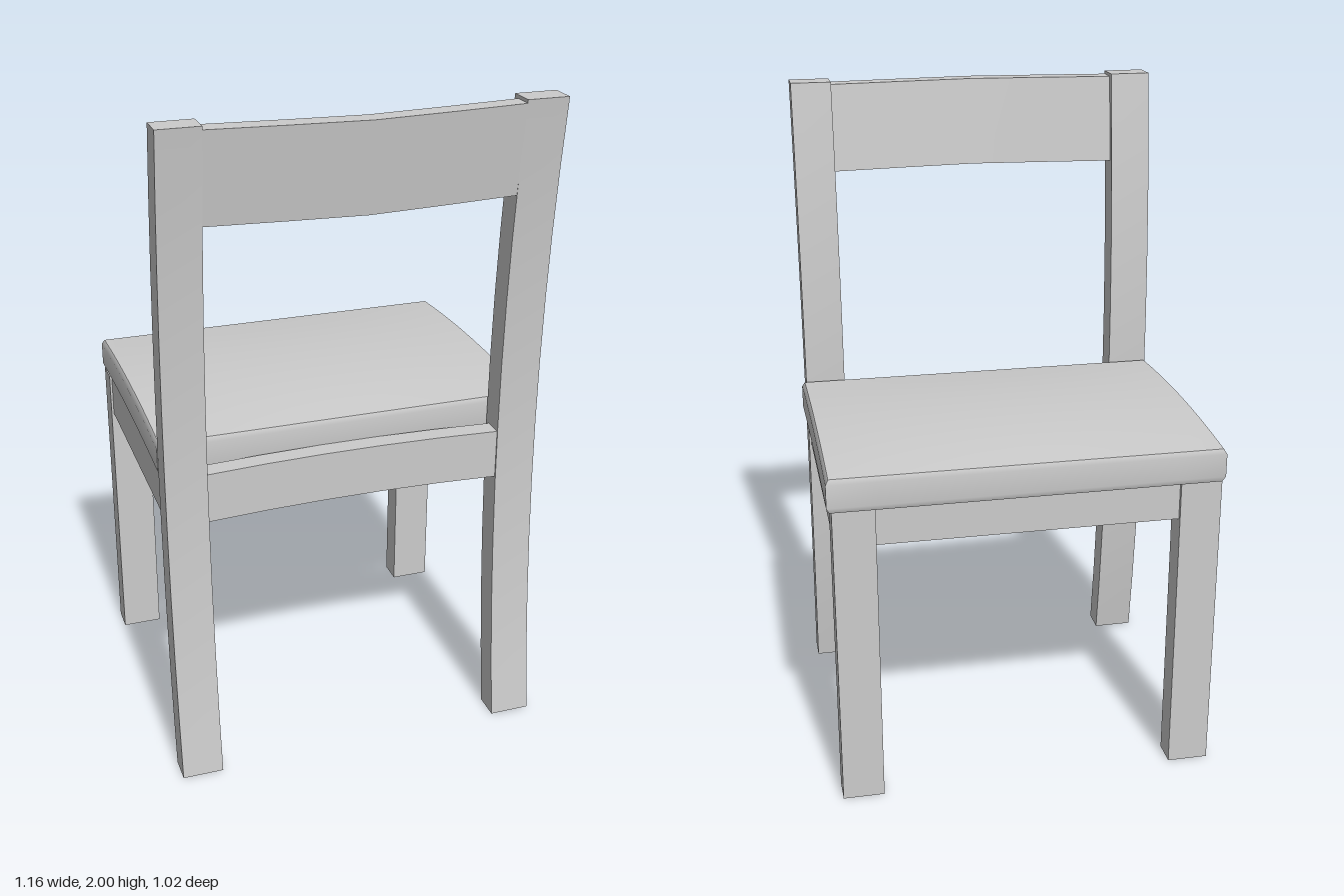
import * as THREE from 'three';

const material = new THREE.MeshStandardMaterial({ color: 0xcccccc });

// Box between two corners, with its vertices optionally moved by a rule.
function part(name, [x0, y0, z0], [x1, y1, z1], segments = [1, 1, 1], rule = null) {
  const geometry = new THREE.BoxGeometry(x1 - x0, y1 - y0, z1 - z0, ...segments);
  geometry.translate((x0 + x1) / 2, (y0 + y1) / 2, (z0 + z1) / 2);
  if (rule) {
    const pos = geometry.attributes.position;
    const v = new THREE.Vector3();
    for (let i = 0; i < pos.count; i++) {
      rule(v.fromBufferAttribute(pos, i));
      pos.setXYZ(i, v.x, v.y, v.z);
    }
    geometry.computeVertexNormals();
  }
  const mesh = new THREE.Mesh(geometry, material);
  mesh.name = name;
  return mesh;
}

export function createModel() {
  const chair = new THREE.Group();
  chair.name = 'chair';

  // Frame, sitting very slightly off the centre of the seat
  const frame = new THREE.Group();
  frame.name = 'frame';
  frame.position.x = -0.007;
  chair.add(frame);

  const inner = 0.448, outer = 0.572;
  for (const [side, s] of [['left', 1], ['right', -1]]) {
    const span = (a, b) => (s > 0 ? [a, b] : [-b, -a]);
    const [x0, x1] = span(inner, outer);

    // Back post, bowed along its whole height
    frame.add(part(side + 'BackPost', [x0, 0, 0.317], [x1, 2, 0.398], [1, 10, 1],
      (v) => { v.z += 0.072 * (v.y - 1) ** 2; }));

    // Straight leg
    frame.add(part(side + 'FrontLeg', [x0, 0, -0.487], [x1, 0.965, -0.407]));

    // Side apron
    const [a0, a1] = span(0.49, 0.565);
    frame.add(part(side + 'Apron', [a0, 0.83, -0.42], [a1, 0.965, 0.33]));
  }

  // Front apron
  frame.add(part('frontApron', [-inner, 0.83, -0.475], [inner, 0.965, -0.415]));

  // Back apron, bowed gently toward the seat
  frame.add(part('backApron', [-inner, 0.828, 0.315], [inner, 0.98, 0.375], [5, 1, 1],
    (v) => { v.z += 0.02 * Math.max(0, (Math.abs(v.x) - 0.18) / 0.27); }));

  // Top rail, leaning back and bowed outward
  frame.add(part('topRail', [-inner, 1.725, 0.375], [inner, 1.99, 0.435], [4, 1, 1], (v) => {
    const u = Math.abs(v.x) / inner;
    v.z += 0.04 * (1 - 0.8 * u - 0.2 * u * u) + 0.034 * (v.y - 1.725) / 0.265;
  }));

  // Domed seat with softened edges
  const W = 0.58, back = 0.312, front = -0.512;
  const rows = [0.953, 0.97, 1.04, 1.055];
  chair.add(part('seat', [-W, 0, front], [W, 3, back], [8, 3, 8], (v) => {
    const row = Math.round(v.y);
    const mid = (front + back) / 2;
    const u = v.x / W, w = (v.z - mid) / (back - mid);
    const dome = 1 - w * w;
    const lift = row >= 2 ? 0.017 + 0.012 * (1 - u * u) : 0.012;
    v.y = rows[row] + lift * dome;
    if (row === 0 || row === 3) {
      v.x *= 0.985;
      v.z = mid + (v.z - mid) * 0.982;
    }
  }));

  return chair;
}
